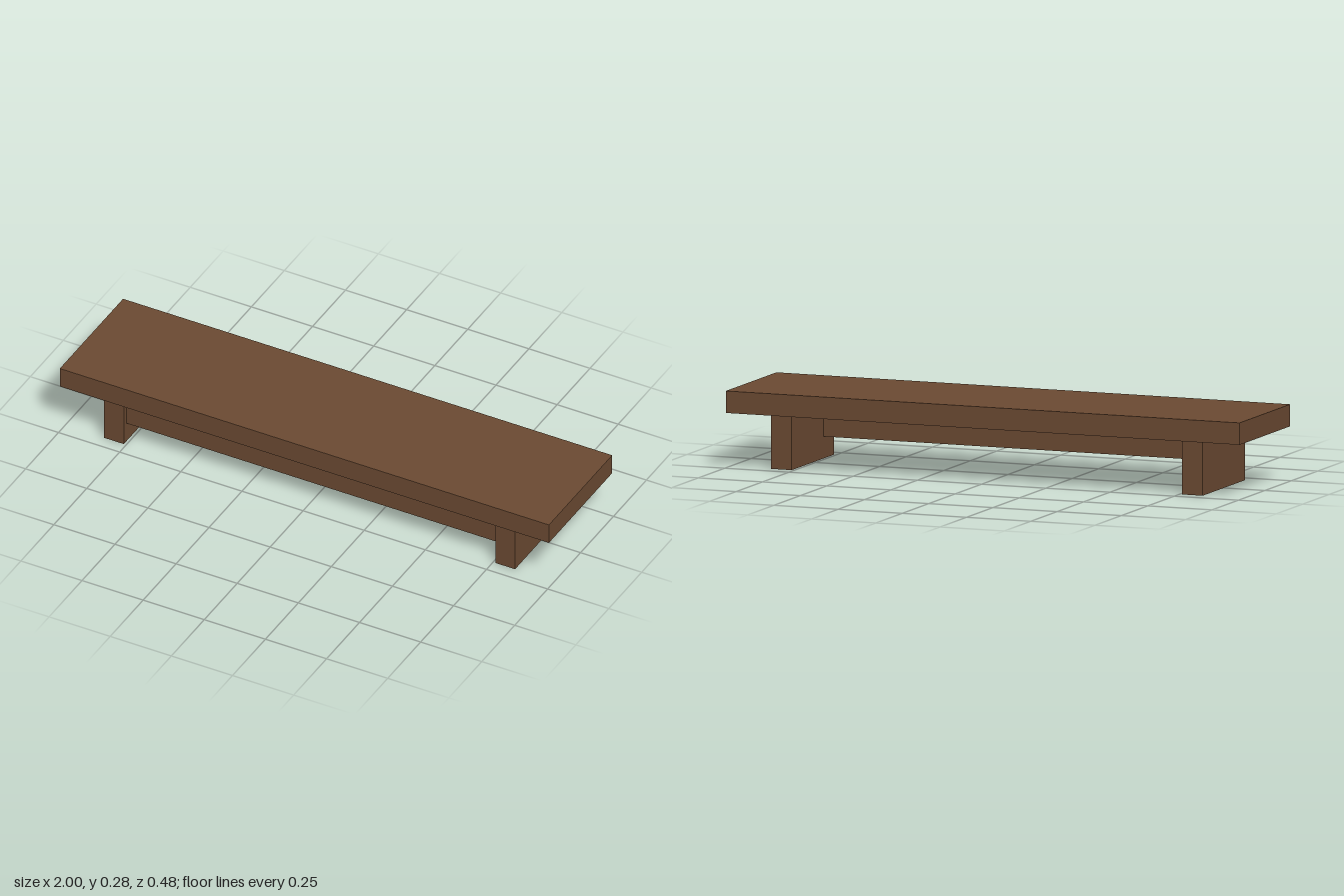
import * as THREE from 'three';

export function createModel() {
  const model = new THREE.Group();
  model.name = 'lowBench';

  const wood = new THREE.MeshStandardMaterial({ color: 0x6b4a32 });
  wood.name = 'brown wood';

  // Adds a named wooden board of the given size, centred at the given point
  function addBoard(name, size, position) {
    const board = new THREE.Mesh(new THREE.BoxGeometry(...size), wood);
    board.name = name;
    board.position.set(...position);
    model.add(board);
  }

  // Overhanging seat plank
  addBoard('seat', [2, 0.08, 0.48], [0, 0.24, 0]);

  // Slab legs, mirrored left and right
  for (const side of [1, -1]) {
    addBoard(side > 0 ? 'leftLeg' : 'rightLeg', [0.08, 0.2, 0.4], [side * 0.8, 0.1, 0]);
  }

  // Rail joining the legs near the front
  addBoard('frontRail', [1.52, 0.08, 0.08], [0, 0.12, 0.14]);

  return model;
}
